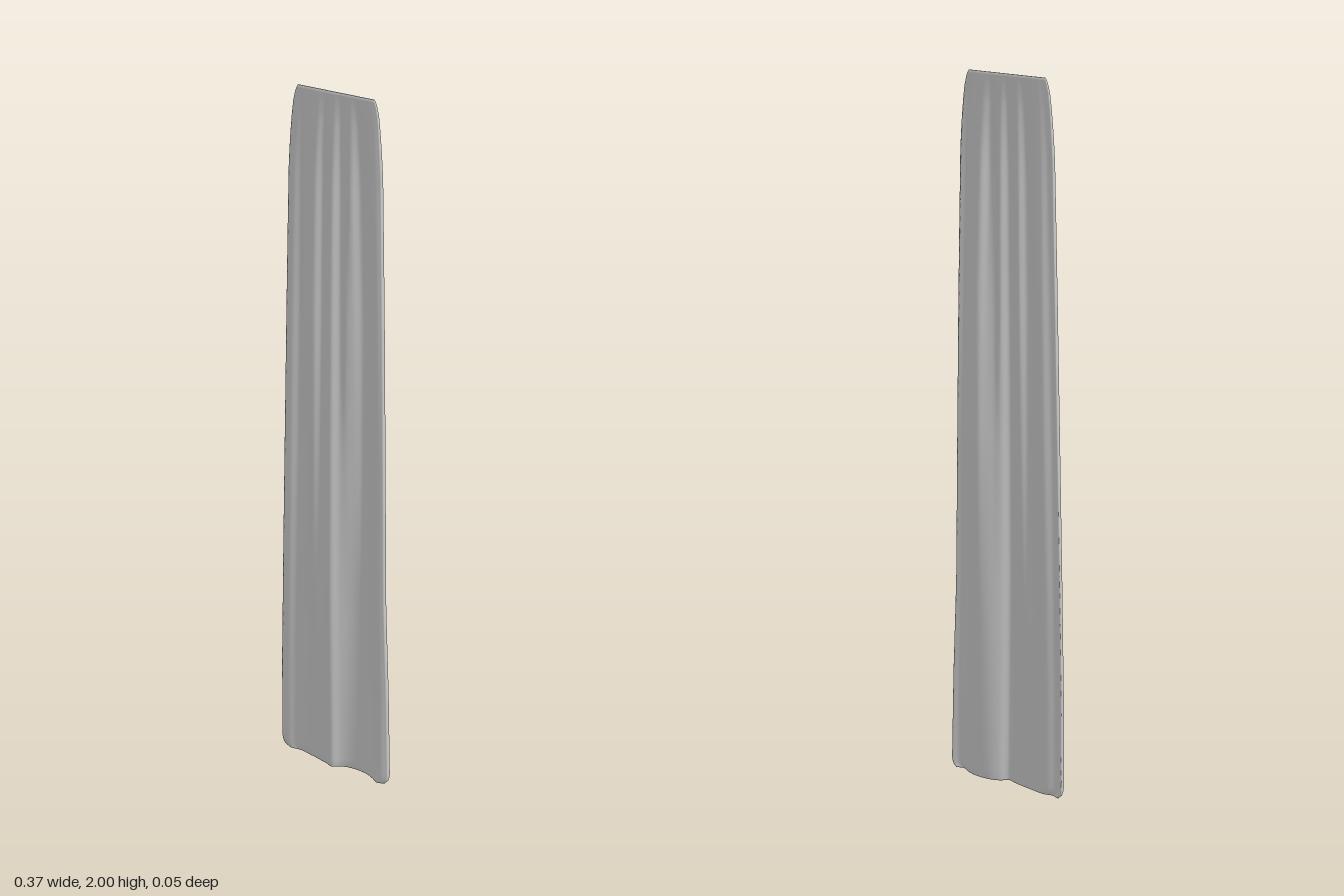
import * as THREE from 'three';

// Smooth interpolation through evenly spaced values, t in 0..1
function sample(values, t) {
  const f = t * (values.length - 1);
  const i = Math.min(Math.floor(f), values.length - 2);
  const k = f - i;
  const at = (j) => values[Math.max(0, Math.min(values.length - 1, j))];
  const [a, b, c, d] = [at(i - 1), at(i), at(i + 1), at(i + 2)];
  return b + 0.5 * k * (c - a + k * (2 * a - 5 * b + 4 * c - d + k * (3 * (b - c) + d - a)));
}

// Smooth spline through [height, value] pairs
function byHeight(pairs, y) {
  let i = 0;
  while (i < pairs.length - 2 && y > pairs[i + 1][0]) i++;
  const k = (y - pairs[i][0]) / (pairs[i + 1][0] - pairs[i][0]);
  return pairs[i][1] + (pairs[i + 1][1] - pairs[i][1]) * k;
}

// Outline of the strip
const leftEdge = [[0, 0.17], [0.008, 0.178], [0.025, 0.183], [0.3, 0.181], [0.6, 0.174], [1, 0.163], [1.4, 0.151], [1.8, 0.139], [1.9, 0.132], [1.96, 0.125], [1.99, 0.118], [2, 0.112]];
const rightEdge = [[0, 0.17], [0.008, 0.178], [0.025, 0.183], [0.3, 0.176], [0.6, 0.164], [1, 0.156], [1.4, 0.147], [1.8, 0.136], [1.9, 0.129], [1.96, 0.122], [1.99, 0.115], [2, 0.109]];
const thickness = [[0, 0.008], [0.02, 0.011], [1.6, 0.011], [1.85, 0.009], [1.96, 0.006], [2, 0.004]];

// Fold depth (thousandths) across the width, from -x to +x, at several heights
const folds = [
  [0, [-7, 0, -4, -4, 0, 3, 7, 11, 17, 3, -5, -8, -8, -5, 3, 14, 8]],
  [0.5, [-8, -3, -8, -8, -1, 4, 5, 10, 18, 4, -7, -14, -16, -12, -2, 11, 9]],
  [1, [-7, -6, -13, -11, 2, 7, 1, 9, 17, 3, -4, -13, -21, -17, -6, 7, 6]],
  [1.4, [-5, -6, -13, -8, 6, 7, -3, 8, 13, 0, 2, -5, -17, -17, -5, 6, 3]],
  [1.75, [-4, -4, -9, -5, 4, 5, -4, 5, 7, -4, 2, 2, -10, -10, -3, 3, 0]],
  [1.9, [-4, -4, -6, -4, 0, 1, -4, 0, 2, -4, -1, 0, -6, -6, -3, 0, -2]],
  [2, new Array(17).fill(-4)],
];

function createCloth() {
  const cols = 80;
  const heights = [0, 0.004, 0.01, 0.018, 0.03];
  for (let y = 0.07; y < 1.9; y += 0.04) heights.push(y);
  heights.push(1.92, 1.94, 1.96, 1.975, 1.985, 1.993, 2);

  const positions = [];
  const indices = [];
  const ring = 2 * (cols + 1);

  // Closed cross-sections: front from -x to +x, then back again
  for (const y of heights) {
    const left = -byHeight(leftEdge, y);
    const right = byHeight(rightEdge, y);
    const half = byHeight(thickness, y) / 2;
    for (let j = 0; j < ring; j++) {
      const front = j <= cols;
      const u = (front ? j : ring - 1 - j) / cols;
      const z = byHeight(folds.map(([h, row]) => [h, sample(row, u)]), y) / 1000;
      positions.push(left + (right - left) * u, y, z + (front ? half : -half));
    }
  }
  for (let i = 0; i < heights.length - 1; i++) {
    for (let j = 0; j < ring; j++) {
      const a = i * ring + j;
      const b = i * ring + ((j + 1) % ring);
      indices.push(a, b, b + ring, a, b + ring, a + ring);
    }
  }

  // Bottom and top hems
  const top = (heights.length - 1) * ring;
  for (let j = 0; j < cols; j++) {
    const [a, b, c, d] = [j, j + 1, ring - 2 - j, ring - 1 - j];
    indices.push(a, c, b, a, d, c);
    indices.push(top + a, top + b, top + c, top + a, top + c, top + d);
  }

  const geometry = new THREE.BufferGeometry();
  geometry.setAttribute('position', new THREE.Float32BufferAttribute(positions, 3));
  geometry.setIndex(indices);
  geometry.computeVertexNormals();
  return geometry;
}

export function createModel() {
  const model = new THREE.Group();
  model.name = 'hangingCloth';
  const cloth = new THREE.Mesh(createCloth(), new THREE.MeshStandardMaterial({ color: 0xcccccc }));
  cloth.name = 'clothStrip';
  model.add(cloth);
  return model;
}
